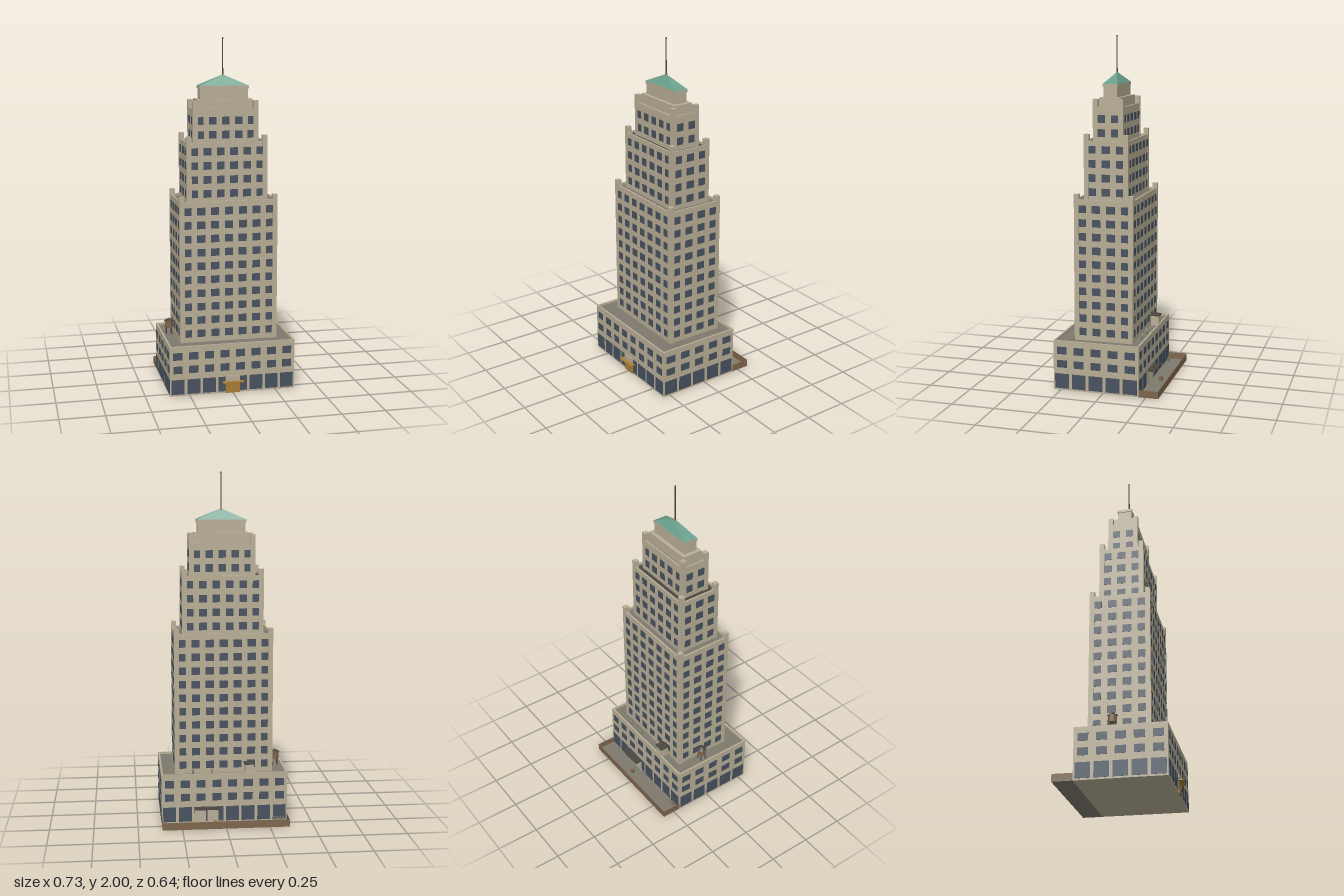
import * as THREE from 'three';
import { mergeGeometries } from 'three/addons/utils/BufferGeometryUtils.js';

const mat = (name, color) => {
  const m = new THREE.MeshStandardMaterial({ color });
  m.name = name;
  return m;
};

export function createModel() {
  const stone = mat('stone', 0xb8ae96);
  const roofGrey = mat('roofGrey', 0x7e796d);
  const dark = mat('darkMetal', 0x4a4540);
  const glass = mat('windowGlass', 0x47525f);
  const gold = mat('brass', 0xa87d38);
  const copper = mat('greenCopper', 0x6a9f8c);
  const brown = mat('brownWood', 0x7d654c);

  const model = new THREE.Group();
  model.name = 'skyscraper';
  const add = (name, geo, material, parent = model) => {
    const m = new THREE.Mesh(geo, material);
    m.name = name;
    parent.add(m);
    return m;
  };
  // Box geometry from its bounds
  const box = (x0, x1, y0, y1, z0, z1) =>
    new THREE.BoxGeometry(x1 - x0, y1 - y0, z1 - z0)
      .translate((x0 + x1) / 2, (y0 + y1) / 2, (z0 + z1) / 2);
  const cyl = (rTop, rBottom, h, sides, x, y, z) =>
    new THREE.CylinderGeometry(rTop, rBottom, h, sides).toNonIndexed().translate(x, y + h / 2, z);
  const flat = (g) => { g.computeVertexNormals(); return g; };

  // One row of window plates around all four walls
  function windowRow(list, t, y, h, ratio) {
    const zc = (t.z0 + t.z1) / 2, depth = t.z1 - t.z0;
    const sx = 2 * t.hx / t.nx, sz = depth / t.nz, thin = 0.004;
    for (let i = 0; i < t.nx; i++) {
      const x = (i - (t.nx - 1) / 2) * sx;
      for (const z of [t.z0, t.z1])
        list.push(new THREE.BoxGeometry(sx * ratio, h, thin).translate(x, y, z));
    }
    for (let i = 0; i < t.nz; i++) {
      const z = zc + (i - (t.nz - 1) / 2) * sz;
      for (const x of [-t.hx, t.hx])
        list.push(new THREE.BoxGeometry(thin, h, sz * ratio).translate(x, y, z));
    }
  }

  // Wall block with recessed roof and a parapet rim
  function block(t, parent) {
    const { hx, y0, y1, z0, z1 } = t, w = 0.01, low = y1 - 0.012;
    add('walls', box(-hx, hx, y0, low - 0.002, z0, z1), stone, parent);
    add('roofDeck', box(-hx + w, hx - w, low - 0.002, low, z0 + w, z1 - w), t.roof, parent);
    add('parapet', mergeGeometries([
      box(-hx, hx, low - 0.002, y1, z0, z0 + w),
      box(-hx, hx, low - 0.002, y1, z1 - w, z1),
      box(-hx, -hx + w, low - 0.002, y1, z0 + w, z1 - w),
      box(hx - w, hx, low - 0.002, y1, z0 + w, z1 - w),
    ]), stone, parent);
  }

  // Podium
  const podium = new THREE.Group();
  podium.name = 'podium';
  model.add(podium);
  const base = { hx: 0.363, y0: 0, y1: 0.29, z0: -0.209, z1: 0.292, nx: 8, nz: 5, roof: roofGrey };
  block(base, podium);
  const baseWindows = [];
  windowRow(baseWindows, base, 0.053, 0.086, 0.82);
  windowRow(baseWindows, base, 0.154, 0.043, 0.58);
  windowRow(baseWindows, base, 0.233, 0.043, 0.58);
  add('podiumWindows', mergeGeometries(baseWindows), glass, podium);

  // Stepped tower tiers with corner piers
  const tiers = [
    { name: 'lowerTower', hx: 0.28, y0: 0.27, y1: 1.093, z0: -0.15, z1: 0.188, pier: 1.122,
      nx: 7, nz: 4, rows: 10, first: 0.33, step: 0.0787, roof: roofGrey },
    { name: 'middleTower', hx: 0.23, y0: 1.07, y1: 1.42, z0: -0.107, z1: 0.144, pier: 1.455,
      nx: 6, nz: 3, rows: 4, first: 1.13, step: 0.0797, roof: dark },
    { name: 'upperTower', hx: 0.186, y0: 1.4, y1: 1.605, z0: -0.066, z1: 0.104, pier: 1.648,
      nx: 5, nz: 2, rows: 2, first: 1.459, step: 0.079, roof: roofGrey },
  ];
  for (const t of tiers) {
    const g = new THREE.Group();
    g.name = t.name;
    model.add(g);
    block(t, g);
    const windows = [], piers = [], o = 0.003, s = 0.025;
    for (let r = 0; r < t.rows; r++) windowRow(windows, t, t.first + r * t.step, 0.043, 0.58);
    for (const x of [-t.hx - o, t.hx + o - s - o])
      for (const z of [t.z0 - o, t.z1 - s])
        piers.push(box(x, x + s + o, t.y0, t.pier, z, z + s + o));
    add('windows', mergeGeometries(windows), glass, g);
    add('cornerPiers', mergeGeometries(piers), stone, g);
  }

  // Crown, hipped copper roof and mast
  const zc = 0.02;
  add('crownBase', box(-0.16, 0.16, 1.585, 1.655, -0.041, 0.079), stone);
  add('crown', box(-0.138, 0.138, 1.655, 1.716, -0.02, 0.06), stone);
  add('crownCornice', box(-0.143, 0.143, 1.714, 1.73, -0.024, 0.062), stone);
  const hip = new THREE.ConeGeometry(Math.SQRT1_2, 0.062, 4).toNonIndexed();
  hip.rotateY(Math.PI / 4).scale(0.286, 1, 0.086).translate(0, 1.761, zc);
  add('copperRoof', flat(hip), copper);
  add('mast', cyl(0.003, 0.004, 0.215, 6, 0, 1.78, zc), dark);
  add('mastCollar', box(-0.005, 0.005, 1.782, 1.794, zc - 0.005, zc + 0.005), gold);
  add('mastTip', new THREE.SphereGeometry(0.005, 8, 6).translate(0, 1.995, zc), dark);

  // Front entrance
  add('entranceDoor', box(-0.042, 0.042, 0, 0.066, 0.29, 0.298), gold);
  add('entrancePanel', box(-0.042, 0.042, 0.066, 0.1, 0.29, 0.298), stone);
  add('entranceCanopy', box(-0.06, 0.06, 0.064, 0.07, 0.292, 0.321), gold);

  // Rear yard with its fence, loading dock, crate and bins
  add('yardGround', box(-0.363, 0.363, 0, 0.004, -0.322, -0.209), roofGrey);
  add('yardFence', mergeGeometries([
    box(-0.363, 0.363, 0, 0.042, -0.323, -0.32),
    box(-0.363, -0.36, 0, 0.042, -0.32, -0.209),
    box(0.36, 0.363, 0, 0.042, -0.32, -0.209),
  ]), brown);
  add('dockDoors', mergeGeometries([
    box(0.036, 0.1, 0.004, 0.085, -0.214, -0.207),
    box(0.108, 0.172, 0.004, 0.085, -0.214, -0.207),
  ]), stone);
  add('dockCanopy', box(0.031, 0.177, 0.09, 0.096, -0.257, -0.209), dark);
  add('crate', box(0.049, 0.07, 0.004, 0.026, -0.274, -0.253), brown);
  const bins = [0, 1, 2, 3].map((i) => cyl(0.006, 0.006, 0.024, 6, -0.34 + i * 0.0175, 0.004, -0.222));
  add('bins', flat(mergeGeometries(bins)), roofGrey);

  // Podium rooftop: stair hut and vents
  add('stairHut', box(-0.17, -0.12, 0.27, 0.338, -0.203, -0.155), stone);
  add('stairHutRoof', box(-0.175, -0.115, 0.338, 0.344, -0.208, -0.152), dark);
  const vents = [0.072, 0.18].flatMap((x) => [
    cyl(0.006, 0.006, 0.03, 6, x, 0.275, -0.181),
    cyl(0.002, 0.01, 0.012, 6, x, 0.305, -0.181),
  ]);
  add('roofVents', flat(mergeGeometries(vents)), roofGrey);

  // Water tank on legs
  const tank = new THREE.Group();
  tank.name = 'waterTank';
  tank.position.set(-0.317, 0, -0.01);
  model.add(tank);
  add('barrel', flat(cyl(0.024, 0.024, 0.042, 8, 0, 0.319, 0).rotateY(Math.PI / 8)), brown, tank);
  add('tankRoof', flat(cyl(0, 0.03, 0.018, 8, 0, 0.358, 0).rotateY(Math.PI / 8)), dark, tank);
  const legs = [];
  for (const x of [-0.015, 0.015])
    for (const z of [-0.015, 0.015]) legs.push(cyl(0.0025, 0.0025, 0.045, 5, x, 0.276, z));
  add('tankLegs', mergeGeometries(legs), dark, tank);

  return model;
}
